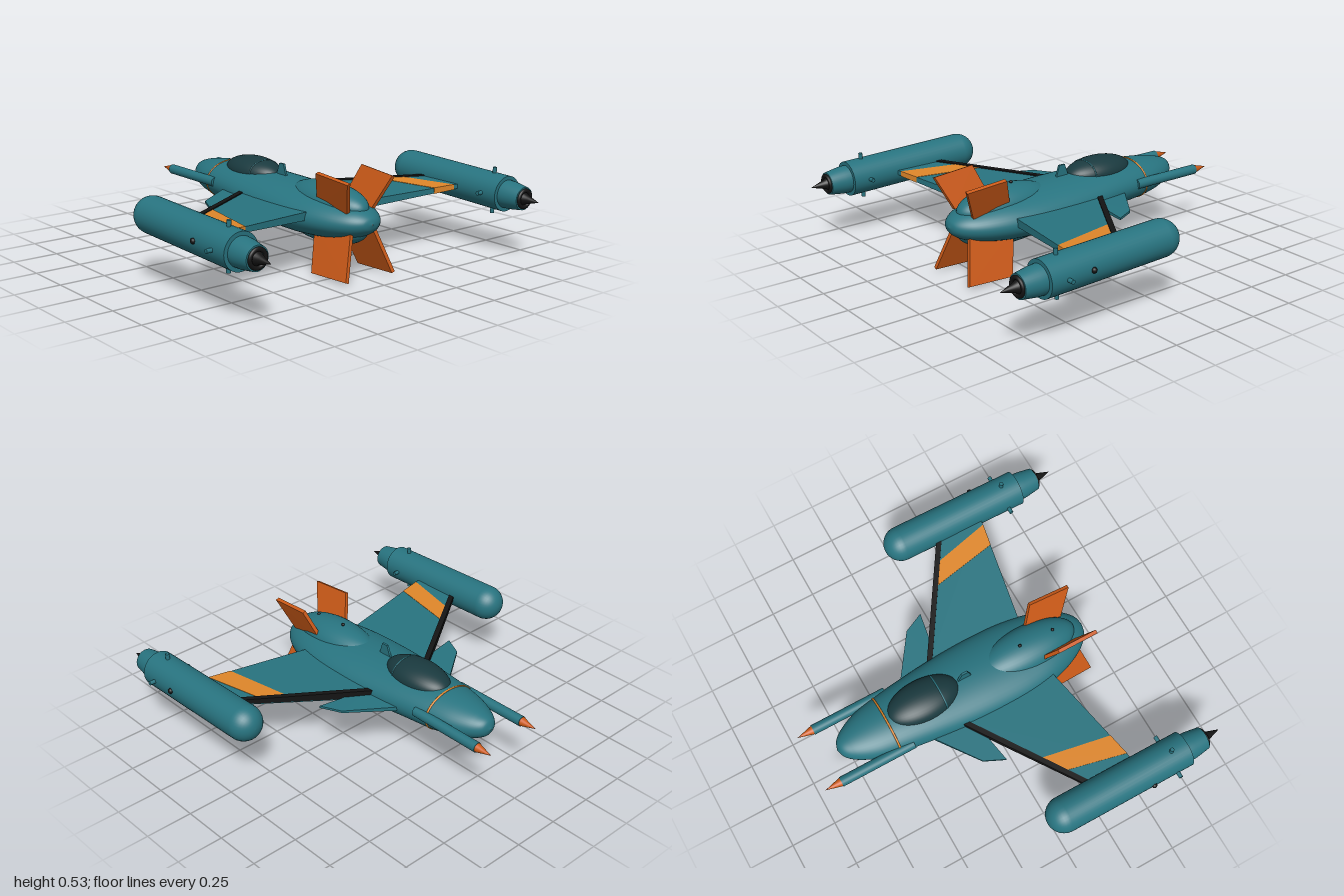
import * as THREE from 'three';
import { ConvexGeometry } from 'three/addons/geometries/ConvexGeometry.js';
import { ParametricGeometry } from 'three/addons/geometries/ParametricGeometry.js';

const V = (x, y, z) => new THREE.Vector3(x, y, z);
const paint = (color) => new THREE.MeshStandardMaterial({ color });

export function createModel() {
  const model = new THREE.Group();
  const teal = paint(0x287480), glass = paint(0x1a3a3f), black = paint(0x141414);
  const orange = paint(0xcc5a18), stripe = paint(0xe0872a);

  function add(parent, name, geometry, material, x = 0, y = 0, z = 0) {
    const mesh = new THREE.Mesh(geometry, material);
    mesh.name = name;
    mesh.position.set(x, y, z);
    parent.add(mesh);
    return mesh;
  }

  // Ellipsoid from its half sizes
  const ellipsoid = (rx, ry, rz) => new THREE.SphereGeometry(1, 40, 28).rotateX(Math.PI / 2).scale(rx, ry, rz);

  // Lathe whose axis runs along z; profile is [radius, z]
  const turned = (profile, segments = 36) =>
    new THREE.LatheGeometry(profile.map(([r, z]) => new THREE.Vector2(r, z)), segments).rotateX(Math.PI / 2);

  // Flat plate: four corners, thickened both ways along a half-thickness vector per corner
  const plate = (corners, halves) => new ConvexGeometry(
    corners.flatMap((c, i) => [c.clone().add(halves[i]), c.clone().sub(halves[i])]));

  // Hull lofted through stations: z, half width, top, bottom
  const stations = [
    [-0.82, 0.002, 0.326, 0.322], [-0.8, 0.05, 0.366, 0.28], [-0.75, 0.092, 0.388, 0.25],
    [-0.65, 0.138, 0.408, 0.222], [-0.53, 0.165, 0.42, 0.205], [-0.35, 0.19, 0.424, 0.195],
    [-0.15, 0.212, 0.42, 0.18], [0.05, 0.225, 0.415, 0.166], [0.25, 0.222, 0.405, 0.165],
    [0.4, 0.197, 0.393, 0.175], [0.52, 0.155, 0.372, 0.195], [0.6, 0.107, 0.35, 0.22],
    [0.645, 0.055, 0.322, 0.252], [0.66, 0.002, 0.292, 0.288],
  ];
  const topCurve = new THREE.CatmullRomCurve3(stations.map(([z, w, t]) => V(w, t, z)));
  const bottomCurve = new THREE.CatmullRomCurve3(stations.map(([z, w, , b]) => V(w, b, z)));
  const hull = new ParametricGeometry((u, v, target) => {
    const t = topCurve.getPoint(u), b = bottomCurve.getPoint(u), a = -v * Math.PI * 2;
    target.set(Math.cos(a) * t.x, (t.y + b.y) / 2 + Math.sin(a) * (t.y - b.y) / 2, t.z);
  }, 78, 48);
  add(model, 'fuselage', hull, teal);
  add(model, 'dorsalFairing', ellipsoid(0.126, 0.1, 0.285), teal, 0, 0.35, 0.315);
  add(model, 'bellyFairing', ellipsoid(0.12, 0.1, 0.29), teal, 0, 0.232, 0.31);

  // Nose band
  const band = new THREE.TorusGeometry(1, 0.035, 8, 64).scale(0.163, 0.108, 0.16);
  add(model, 'noseBand', band, stripe, 0, 0.3125, -0.53);

  // Cockpit
  add(model, 'canopy', ellipsoid(0.115, 0.078, 0.205), glass, 0, 0.4, -0.31);
  add(model, 'canopyFrame', new THREE.TorusGeometry(1, 0.025, 6, 32, Math.PI).scale(0.103, 0.07, 0.16),
    teal, 0, 0.4, -0.22);
  const h = V(0.006, 0, 0);
  add(model, 'antennaBlade', plate(
    [V(0, 0.4, -0.11), V(0, 0.478, -0.08), V(0, 0.478, -0.045), V(0, 0.4, -0.02)], [h, h, h, h]), teal);
  for (const [y, z] of [[0.452, 0.27], [0.434, 0.47]]) {
    add(model, 'dorsalLight', new THREE.SphereGeometry(0.009, 12, 8), black, 0, y, z);
  }

  // Wing plane: height and half thickness vary along the span
  const span = (x) => (x - 0.18) / 0.61;
  const wingY = (x) => 0.306 + 0.032 * span(x);
  const wingHalf = (x) => 0.022 - 0.01 * span(x);
  const leadZ = (x) => -0.19 + 0.395 * span(x);
  const trailZ = (x) => 0.37 + 0.112 * span(x);

  const engineBody = [[0.0001, -0.07]];
  for (let i = 1; i <= 10; i++) {
    const a = (i / 10) * Math.PI / 2;
    engineBody.push([0.096 * Math.sin(a), 0.026 - 0.096 * Math.cos(a)]);
  }
  engineBody.push([0.096, 0.75], [0.096, 0.75], [0.06, 0.75]);

  for (const s of [1, -1]) {
    // Wing section between corner points given as [x, z]
    const wingPart = (name, pts, material, lift = 0, extra = 0) => add(model, name, plate(
      pts.map(([x, z]) => V(s * x, wingY(x) + lift, z)),
      pts.map(([x]) => V(0, wingHalf(x) + extra, 0))), material);
    wingPart('wing', [[0.15, leadZ(0.15)], [0.8, leadZ(0.8)], [0.8, trailZ(0.8)], [0.15, trailZ(0.15)]], teal);
    wingPart('wingStripe', [[0.555, leadZ(0.555) + 0.01], [0.675, leadZ(0.675) + 0.01],
      [0.755, trailZ(0.755) + 0.001], [0.63, trailZ(0.63) + 0.001]], stripe, 0, 0.002);
    wingPart('wingLeadingEdge', [[0.17, leadZ(0.17) - 0.004], [0.8, leadZ(0.8) - 0.004],
      [0.8, leadZ(0.8) + 0.03], [0.17, leadZ(0.17) + 0.03]], black, 0.006, 0);

    // Canard
    const c = V(0, 0.012, 0), ct = V(0, 0.006, 0);
    add(model, 'canard', plate([V(s * 0.15, 0.298, -0.375), V(s * 0.417, 0.306, -0.187),
      V(s * 0.47, 0.306, -0.075), V(s * 0.15, 0.298, -0.13)], [c, ct, ct, c]), teal);

    // Tail fins
    const up = V(s * 0.0095, -0.0035, 0), down = V(s * 0.0095, 0.0035, 0);
    add(model, 'upperTailFin', plate([V(s * 0.083, 0.345, 0.34), V(s * 0.153, 0.532, 0.41),
      V(s * 0.148, 0.514, 0.645), V(s * 0.083, 0.345, 0.57)], [up, up, up, up]), orange);
    add(model, 'lowerTailFin', plate([V(s * 0.076, 0.24, 0.315), V(s * 0.158, 0.004, 0.386),
      V(s * 0.155, 0.014, 0.65), V(s * 0.076, 0.24, 0.59)], [down, down, down, down]), orange);

    // Nose guns
    add(model, 'gunBarrel', turned([[0.0001, -0.88], [0.027, -0.88], [0.027, -0.88],
      [0.027, -0.455], [0.027, -0.455], [0.0001, -0.455]], 24), teal, s * 0.161, 0.327, 0);
    add(model, 'gunTip', turned([[0.0001, -0.97], [0.024, -0.88]], 24), orange, s * 0.161, 0.327, 0);

    // Wingtip engine, tilted slightly nose up
    const engine = new THREE.Group();
    engine.name = 'engine';
    engine.position.set(s * 0.874, 0.355, 0);
    engine.rotation.x = 0.03;
    model.add(engine);
    add(engine, 'engineBody', turned(engineBody), teal);
    add(engine, 'nozzle', turned([[0.076, 0.74], [0.074, 0.79], [0.062, 0.87], [0.062, 0.87], [0.03, 0.87]]), teal);
    add(engine, 'exhaustRing', new THREE.TorusGeometry(0.044, 0.011, 10, 36), black, 0, 0, 0.872);
    add(engine, 'exhaustSpike', turned([[0.036, 0.865], [0.026, 0.885], [0.02, 0.905], [0.0001, 0.968]], 24), black);
    for (let i = 0; i < 4; i++) {
      const a = i * Math.PI / 2;
      const pin = add(engine, 'enginePin', new THREE.CylinderGeometry(0.011, 0.011, 0.046, 14),
        teal, Math.cos(a) * 0.103, Math.sin(a) * 0.103, 0.655);
      pin.rotation.z = a - Math.PI / 2;
    }
    add(engine, 'engineKnob', new THREE.SphereGeometry(0.015, 14, 10), black, s * 0.095, 0.006, 0.51);
  }
  return model;
}
